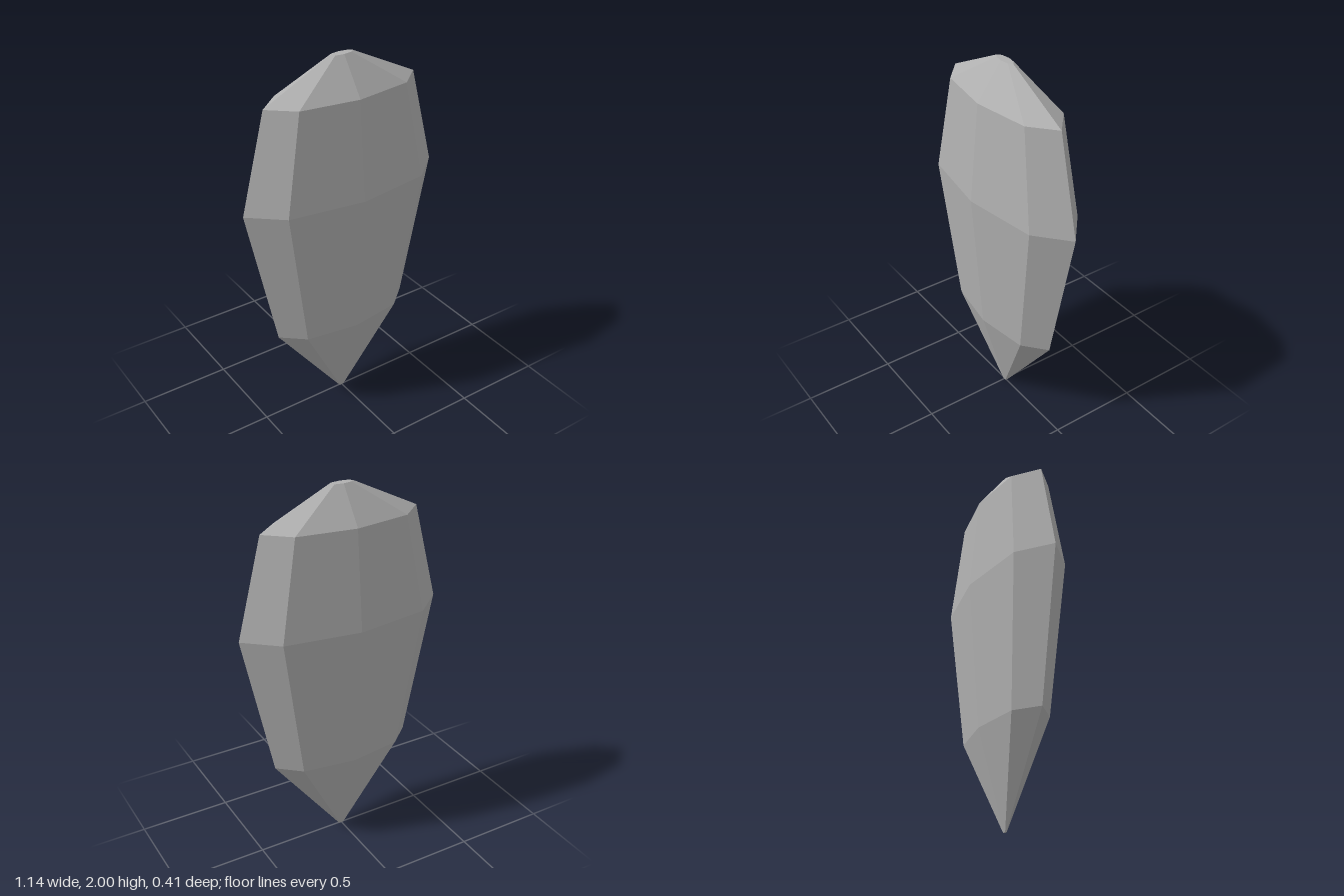
import * as THREE from 'three';

export function createModel() {
  const group = new THREE.Group();
  group.name = 'crystal';
  const stone = new THREE.MeshStandardMaterial({ color: 0xb0b0b0, flatShading: true });
  stone.name = 'grey stone';

  // Half profile from bottom tip to top facet: [radius, height]
  const profile = [
    [0, 0], [0.016, 0], [0.403, 0.508], [0.57, 1.296], [0.436, 1.818], [0.066, 2], [0, 2],
  ].map(([r, y]) => new THREE.Vector2(r, y));

  // Eight-sided gem, flattened front to back
  const geometry = new THREE.LatheGeometry(profile, 8).toNonIndexed();
  geometry.scale(1, 1, 0.36);
  geometry.computeVertexNormals();

  const gem = new THREE.Mesh(geometry, stone);
  gem.name = 'facetedGem';
  group.add(gem);
  return group;
}
